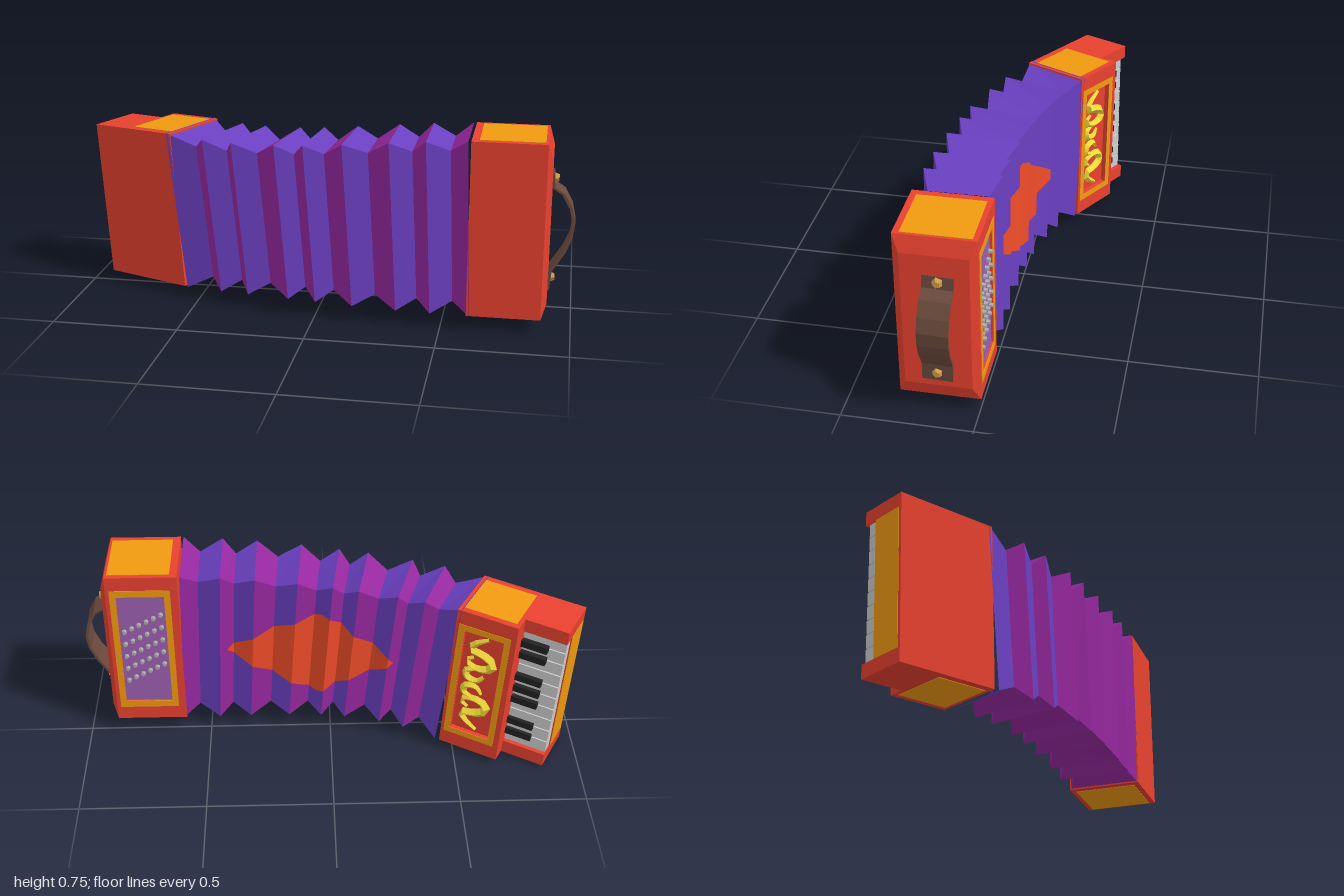
import * as THREE from 'three';

const RED = 0xe8412f, GOLD = 0xf09a10, BLUE = 0x6a3fc0, MAGENTA = 0x96289f;
const V = (x, y, z) => new THREE.Vector3(x, y, z);

function add(parent, name, geometry, color) {
  const material = new THREE.MeshStandardMaterial({ color, flatShading: true });
  const mesh = new THREE.Mesh(geometry, material);
  mesh.name = name;
  parent.add(mesh);
  return mesh;
}

// Box given by its limits on each axis
function box(parent, name, [x0, x1], [y0, y1], [z0, z1], color) {
  const mesh = add(parent, name, new THREE.BoxGeometry(x1 - x0, y1 - y0, z1 - z0), color);
  mesh.position.set((x0 + x1) / 2, (y0 + y1) / 2, (z0 + z1) / 2);
}

// Rectangular plate with a rectangular hole, from z0 to z1
function frame(parent, name, [x0, x1], [y0, y1], hole, [z0, z1], color) {
  const rect = (a, b, c, d) => [[a, c], [b, c], [b, d], [a, d]].map(p => new THREE.Vector2(...p));
  const shape = new THREE.Shape(rect(x0, x1, y0, y1));
  shape.holes.push(new THREE.Path(rect(hole[0][0], hole[0][1], hole[1][0], hole[1][1])));
  const geometry = new THREE.ExtrudeGeometry(shape, { depth: z1 - z0, bevelEnabled: false });
  add(parent, name, geometry, color).position.z = z0;
}

// Flat-faced geometry from a list of four-cornered faces
function quads(list) {
  const pts = list.flatMap(([a, b, c, d]) => [a, b, c, a, c, d]);
  const geometry = new THREE.BufferGeometry().setFromPoints(pts);
  geometry.computeVertexNormals();
  return geometry;
}

// The four side faces between two rings of corners
const band = (r, s) => r.map((p, k) => [p, s[k], s[(k + 1) % 4], r[(k + 1) % 4]]);

// Tube that narrows toward both ends
function scroll(points, radius) {
  const curve = new THREE.CatmullRomCurve3(points.map(([x, y]) => V(x, y, 0)));
  const steps = 14, sides = 4;
  const geometry = new THREE.TubeGeometry(curve, steps, radius, sides, false);
  const pos = geometry.attributes.position, p = V(0, 0, 0);
  for (let i = 0; i < pos.count; i++) {
    const t = Math.floor(i / (sides + 1)) / steps;
    const c = curve.getPointAt(t);
    p.fromBufferAttribute(pos, i).sub(c).multiplyScalar(0.4 + 0.6 * Math.sin(Math.PI * t)).add(c);
    pos.setXYZ(i, p.x, p.y, p.z);
  }
  return geometry;
}

// Keyboard end; its origin is the bottom front outer corner
function keyboardEnd() {
  const g = new THREE.Group();
  g.name = 'keyboardEnd';
  const H = 0.65, X = [0.178, 0.428];
  box(g, 'keyboardBody', X, [0, H], [-0.265, 0], RED);
  const hole = [[0.225, 0.39], [0.085, 0.565]];
  frame(g, 'backRim', X, [0, H], hole, [-0.285, -0.265], RED);
  frame(g, 'backTrim', [0.2, 0.415], [0.06, 0.59], hole, [-0.287, -0.284], GOLD);
  box(g, 'topPanel', [0.195, 0.41], [H - 0.01, H + 0.002], [-0.26, -0.03], GOLD);
  box(g, 'bottomPanel', [0.195, 0.41], [-0.002, 0.01], [-0.26, -0.03], GOLD);

  // Key bed with a block at each end
  box(g, 'keyBed', [0, X[0]], [0, H], [-0.15, 0], RED);
  box(g, 'lowerBlock', [0, X[0]], [0, 0.055], [-0.22, -0.15], RED);
  box(g, 'upperBlock', [0, X[0]], [H - 0.055, H], [-0.21, -0.15], RED);
  box(g, 'sidePanel', [-0.002, 0.01], [0.055, H - 0.055], [-0.148, -0.012], GOLD);
  const pitch = (H - 0.11) / 10;
  for (let i = 0; i < 10; i++) {
    const y = 0.055 + i * pitch;
    box(g, 'whiteKey', [0.004, X[0]], [y + 0.002, y + pitch - 0.002], [-0.203 + i * 0.0013, -0.15], 0xdddddd);
    if ([1, 2, 4, 5, 6, 8, 9].includes(i))
      box(g, 'blackKey', [0.07, X[0]], [y - 0.014, y + 0.014], [-0.218, -0.185], 0x222222);
  }

  // Mirrored scrollwork in the recess
  const large = [[-0.02, 0.222], [0.035, 0.185], [0.052, 0.155], [-0.005, 0.143], [-0.05, 0.113],
    [-0.032, 0.082], [0.03, 0.076], [0.06, 0.1], [0.03, 0.122]];
  const small = [[0.01, 0.07], [0.055, 0.052], [0.048, 0.022], [0.005, 0.016], [-0.02, 0.045]];
  for (const side of [1, -1])
    for (const [path, r] of [[large, 0.02], [small, 0.016]]) {
      const pts = path.map(([x, y]) => [x, y * side]);
      add(g, 'scrollwork', scroll(pts, r), 0xf0d83a).position.set(0.307, 0.325, -0.27);
    }
  g.rotation.set(0, THREE.MathUtils.degToRad(-28), THREE.MathUtils.degToRad(3.9), 'ZYX');
  g.position.set(-0.955, 0.003, -0.107);
  return g;
}

// Button end with the hand strap
function buttonEnd() {
  const g = new THREE.Group();
  g.name = 'buttonEnd';
  const X = [0.6, 0.885], Y = [0.06, 0.755];
  box(g, 'buttonBody', X, Y, [0.01, 0.3], RED);
  const hole = [[0.655, 0.845], [0.15, 0.665]];
  frame(g, 'backRim', X, Y, hole, [-0.005, 0.01], RED);
  frame(g, 'backTrim', [0.63, 0.87], [0.12, 0.695], hole, [-0.007, -0.004], GOLD);
  box(g, 'buttonPanel', hole[0], hole[1], [0.004, 0.012], 0x9a5fb0);
  box(g, 'topPanel', [0.63, 0.875], [0.74, 0.757], [0.015, 0.275], GOLD);
  box(g, 'bottomPanel', [0.63, 0.875], [0.058, 0.07], [0.015, 0.275], GOLD);

  // Sloped outer face
  const ring = (x, y0, y1, z0, z1) => [V(x, y1, z1), V(x, y1, z0), V(x, y0, z0), V(x, y0, z1)];
  const a = ring(0.885, 0.06, 0.755, -0.005, 0.3), b = ring(0.905, 0.12, 0.69, 0.022, 0.273);
  add(g, 'outerFace', quads([...band(a, b), [b[0], b[3], b[2], b[1]]]), RED);

  // Slanted rows of buttons
  for (let r = 0; r < 5; r++)
    for (let c = 0; c < 6; c++) {
      const m = add(g, 'button', new THREE.CylinderGeometry(0.008, 0.011, 0.018, 6), 0xaaaaaa);
      m.rotation.x = -Math.PI / 2;
      m.position.set(0.825 - c * 0.03, 0.255 + r * 0.06 + c * 0.016, -0.001);
    }

  // Bowed strap with flat ends and pentagonal studs
  const strap = new THREE.Group();
  strap.name = 'handStrap';
  const outer = [[0.912, 0.61], [0.916, 0.56], [0.955, 0.535], [0.985, 0.48], [0.998, 0.42],
    [0.99, 0.36], [0.965, 0.3], [0.918, 0.225], [0.912, 0.15]];
  const inner = outer.map(([x, y]) => [x - 0.011, 0.39 + (y - 0.39) * 0.98]).reverse();
  const shape = new THREE.Shape([...outer, ...inner].map(p => new THREE.Vector2(...p)));
  const geo = new THREE.ExtrudeGeometry(shape, { depth: 0.115, bevelEnabled: false });
  add(strap, 'strapBand', geo.translate(0, -0.38, -0.0575), 0x6b4a3c);
  for (const y of [0.587, 0.188]) {
    const stud = add(strap, 'strapStud', new THREE.CylinderGeometry(0.014, 0.023, 0.02, 5), 0xd09a45);
    stud.rotation.z = -Math.PI / 2;
    stud.position.set(0.92, y - 0.38, 0);
  }
  strap.position.set(0, 0.38, 0.142);
  strap.rotation.x = -0.03;
  g.add(strap);
  return g;
}

// Unevenly pleated bellows along a bent path, with a painted diamond on the back
function bellows() {
  const g = new THREE.Group();
  g.name = 'bellows';
  const path = new THREE.CubicBezierCurve3(V(-0.534, 0.358, -0.031), V(-0.183, 0.38, 0.157),
    V(0.2, 0.395, 0.148), V(0.6, 0.407, 0.148));
  const stops = [0, 0.093, 0.142, 0.209, 0.244, 0.316, 0.387, 0.44, 0.48,
    0.538, 0.604, 0.679, 0.751, 0.82, 0.867, 0.942, 1];
  const rings = stops.map((t, i) => {
    const c = path.getPointAt(t), ex = path.getTangentAt(t);
    const ey = V(-0.068 * (1 - t), 1, 0).addScaledVector(ex, -ex.y).normalize();
    const ez = ex.clone().cross(ey);
    const dip = 0.035 * Math.sin(Math.PI * t) * (1 - t);
    const hy = 0.327 + 0.021 * t - dip - (i % 2) * 0.045;
    const hz = 0.1445 + 0.008 * t - (i % 2) * 0.038;
    const at = (y, z) => c.clone().addScaledVector(ey, y).addScaledVector(ez, z);
    return {
      corners: [at(hy, hz), at(hy, -hz), at(-hy, -hz), at(-hy, hz)],
      back: y => at(y, -hz - 0.004),
    };
  });
  const folds = [[], []];
  for (let i = 0; i < rings.length - 1; i++)
    folds[i % 2].push(...band(rings[i].corners, rings[i + 1].corners));
  add(g, 'innerGoingPleats', quads(folds[0]), BLUE);
  add(g, 'outerGoingPleats', quads(folds[1]), MAGENTA);

  // Diamond following the folds
  const back = (i, y) => {
    const k = Math.floor(i);
    return rings[k].back(y - 0.012).lerp(rings[k + 1].back(y - 0.012), i - k);
  };
  const strip = [];
  const half = i => 0.19 * Math.max(0, 1 - Math.abs((i - 8.5) / 5) ** 1.25);
  for (let i = 3.5; i < 13.5; i += 0.5) {
    const j = i + 0.5, a = half(i), b = half(j);
    strip.push([back(i, a), back(j, b), back(j, -b), back(i, -a)]);
  }
  add(g, 'paintedDiamond', quads(strip), 0xf04c28);
  return g;
}

export function createModel() {
  const model = new THREE.Group();
  model.name = 'accordion';
  model.add(keyboardEnd(), bellows(), buttonEnd());
  return model;
}
